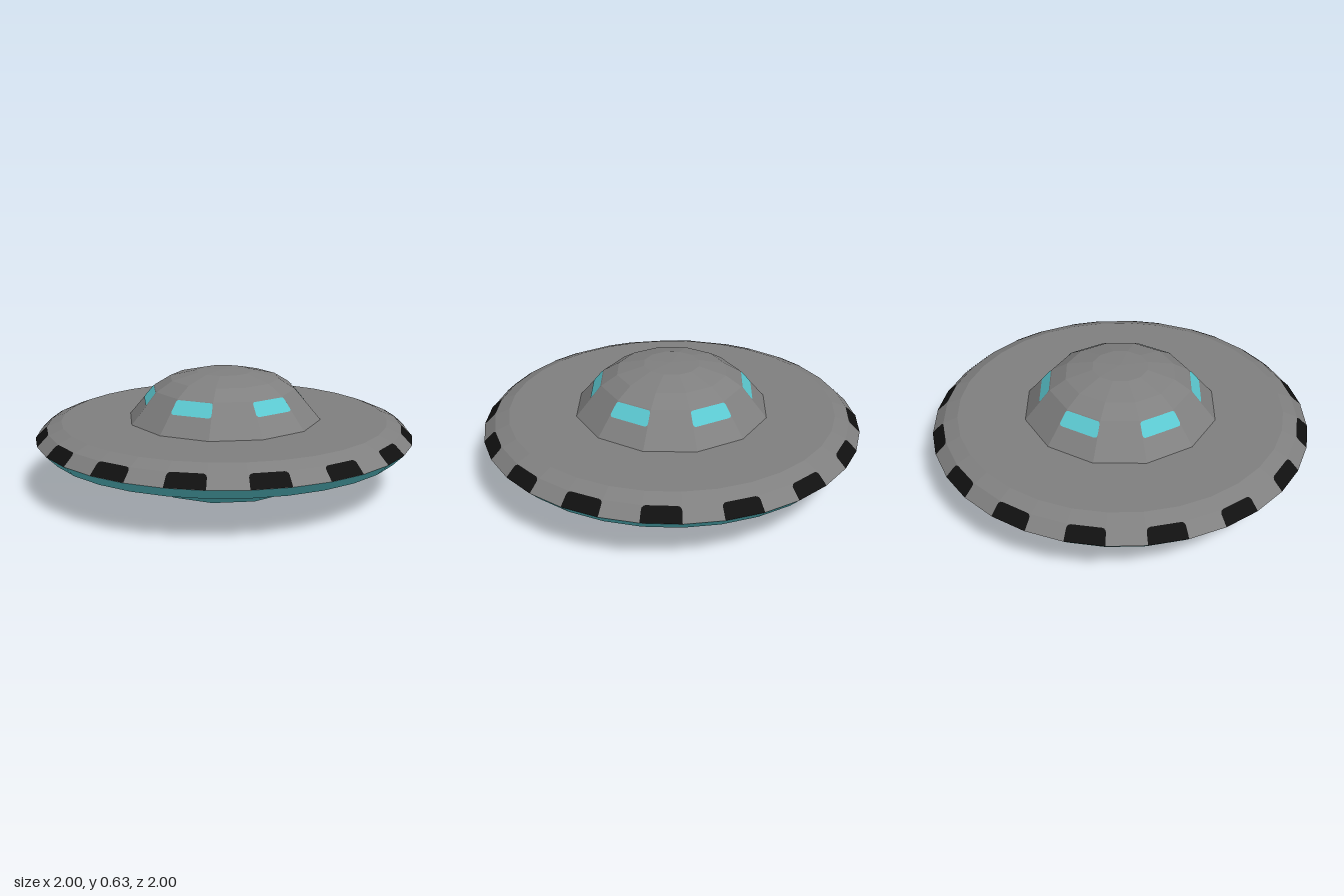
import * as THREE from 'three';

const mat = (name, color, extra = {}) => {
  const m = new THREE.MeshStandardMaterial({ color, flatShading: true, ...extra });
  m.name = name;
  return m;
};

// Revolved shell; the profile runs so that faces point outward
function shell(name, profile, sides, material) {
  const points = profile.map(([r, y]) => new THREE.Vector2(r, y));
  const mesh = new THREE.Mesh(new THREE.LatheGeometry(points, sides), material);
  mesh.name = name;
  return mesh;
}

// Thin painted patch with rounded corners lying on one facet of a shell
function panel(name, [r0, y0], [r1, y1], side, sides, cornerBottom, cornerTop, material) {
  const step = (Math.PI * 2) / sides;
  const at = (r, y, k) => new THREE.Vector3(Math.sin(k * step) * r, y, Math.cos(k * step) * r);
  const [a, b, c, d] = [at(r0, y0, side), at(r0, y0, side + 1), at(r1, y1, side + 1), at(r1, y1, side)];
  const lift = b.clone().sub(a).cross(d.clone().sub(a)).normalize().multiplyScalar(0.002);
  const place = (u, v) => a.clone().lerp(b, u).lerp(d.clone().lerp(c, u), v).add(lift);

  // Corner radii are in world units, turned into fractions of the facet
  const width = a.distanceTo(b);
  const height = a.clone().add(b).distanceTo(c.clone().add(d)) / 2;
  const outline = [];
  [[0, 0], [1, 0], [1, 1], [0, 1]].forEach(([u, v], i) => {
    const radius = v ? cornerTop : cornerBottom;
    const ru = radius / width, rv = radius / height;
    for (let s = 0; s <= 3; s++) {
      const t = Math.PI * (1 + i / 2 + s / 6);
      outline.push(place(u + (u ? -ru : ru) + Math.cos(t) * ru, v + (v ? -rv : rv) + Math.sin(t) * rv));
    }
  });

  const centre = place(0.5, 0.5);
  const triangles = outline.flatMap((p, i) => [centre, p, outline[(i + 1) % outline.length]]);
  const geometry = new THREE.BufferGeometry().setFromPoints(triangles);
  geometry.computeVertexNormals();
  const mesh = new THREE.Mesh(geometry, material);
  mesh.name = name;
  return mesh;
}

export function createModel() {
  const grey = mat('grey metal', 0x808080);
  const teal = mat('teal', 0x5bc8d0, { side: THREE.DoubleSide });
  const black = mat('black', 0x101010, { side: THREE.DoubleSide });

  const model = new THREE.Group();
  model.name = 'flyingSaucer';

  // Wide disc: grey deck above the rim, teal underside below it
  const rim = [1, 0.287], bevel = [0.94, 0.345];
  model.add(shell('deck', [rim, bevel, [0.865, 0.375], [0.45, 0.375]], 32, grey));
  model.add(shell('underside', [[0.5, 0.229], [0.942, 0.229], rim], 32, teal));

  // Rounded hull below the disc
  model.add(shell('hull', [[0, 0], [0.288, 0.003], [0.42, 0.026], [0.513, 0.083],
    [0.572, 0.174], [0.572, 0.23]], 12, teal));

  // Cabin dome on the deck
  model.add(shell('dome', [[0.515, 0.375], [0.378, 0.537], [0.292, 0.59],
    [0.148, 0.625], [0, 0.631]], 12, grey));

  // Dark lights on every second facet of the rim
  const lights = new THREE.Group();
  lights.name = 'rimLights';
  for (let k = 0; k < 32; k += 2) lights.add(panel('rimLight', rim, bevel, k, 32, 0.004, 0.02, black));
  model.add(lights);

  // Windows on every second facet of the dome
  const windows = new THREE.Group();
  windows.name = 'windows';
  for (let k = 0; k < 12; k += 2) {
    windows.add(panel('window', [0.436, 0.468], [0.3815, 0.533], k, 12, 0.018, 0.012, teal));
  }
  model.add(windows);

  return model;
}
